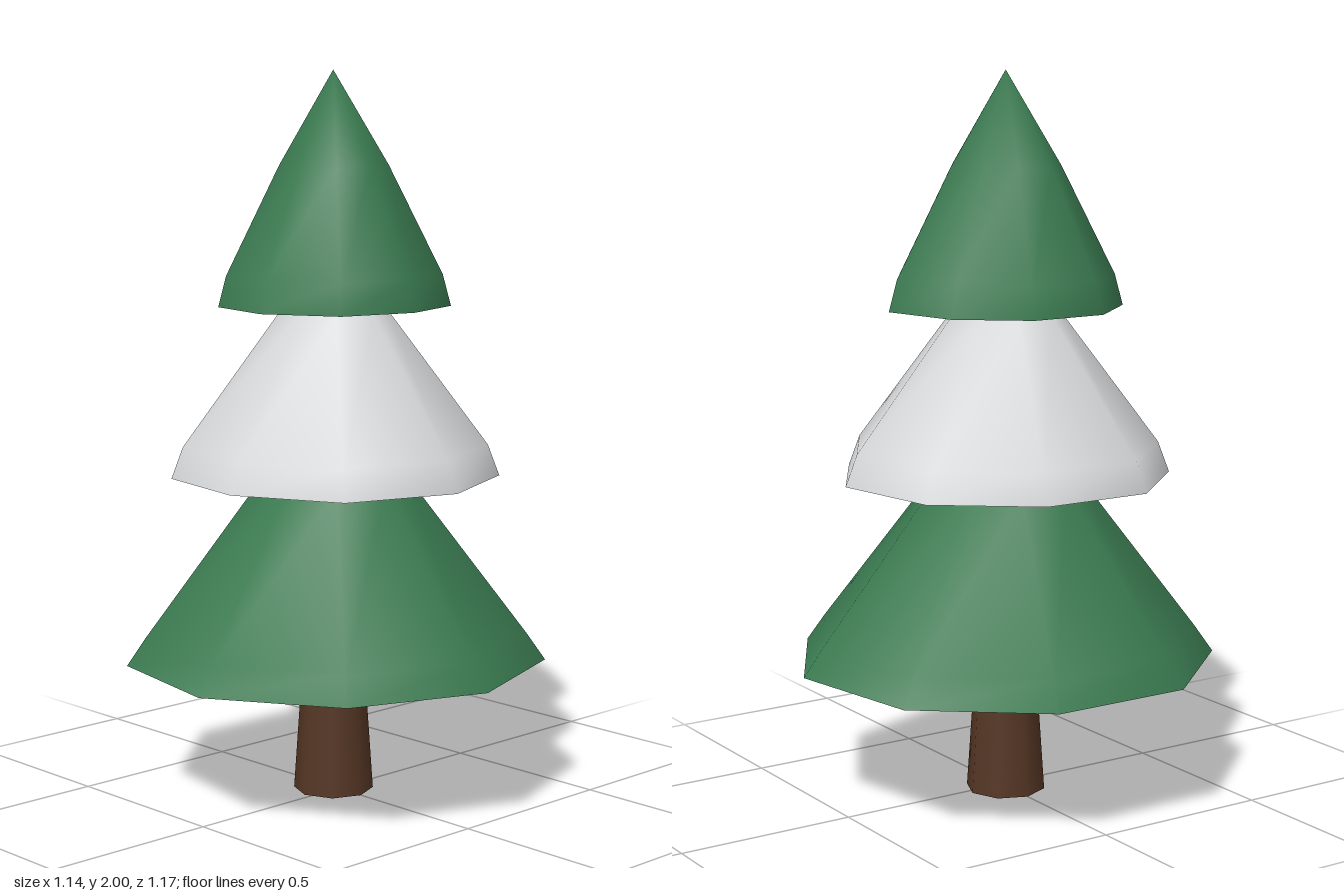
import * as THREE from 'three';
import { mergeVertices } from 'three/addons/utils/BufferGeometryUtils.js';

const SIDES = 9;
const AXIS_X = -0.02;

// Smooth skin over stacked [scale, y] rings; rim holds the radius of each corner
function loft(rim, rings) {
  const pos = [], index = [];
  for (const [scale, y] of rings) {
    rim.forEach((r, i) => {
      const a = (i / SIDES) * Math.PI * 2;
      pos.push(Math.cos(a) * r * scale, y, Math.sin(a) * r * scale);
    });
  }
  for (let k = 0; k < rings.length - 1; k++) {
    for (let i = 0; i < SIDES; i++) {
      const j = (i + 1) % SIDES;
      const a = k * SIDES + i, b = k * SIDES + j, c = a + SIDES, d = b + SIDES;
      if (rings[k][0] > 0) index.push(a, c, b);
      if (rings[k + 1][0] > 0) index.push(b, c, d);
    }
  }
  let geo = new THREE.BufferGeometry();
  geo.setAttribute('position', new THREE.Float32BufferAttribute(pos, 3));
  geo.setIndex(index);
  geo = mergeVertices(geo, 1e-5); // one shared point at each tip
  geo.computeVertexNormals();
  return geo;
}

// One foliage tier: sloped skirt plus a shallow sagging underside
function makeTier(name, material, rim, skirt, tipY) {
  const tier = new THREE.Group();
  tier.name = name;
  const top = new THREE.Mesh(loft(rim, skirt), material);
  top.name = name + 'Skirt';
  const under = new THREE.Mesh(loft(rim, [[0, tipY], skirt[0]]), material);
  under.name = name + 'Underside';
  tier.add(top, under);
  return tier;
}

export function createModel() {
  const green = new THREE.MeshStandardMaterial({ color: 0x3a7a50 });
  green.name = 'pine green';
  const white = new THREE.MeshStandardMaterial({ color: 0xd6d8da });
  white.name = 'snow white';
  const brown = new THREE.MeshStandardMaterial({ color: 0x553624 });
  brown.name = 'bark brown';

  const tree = new THREE.Group();
  tree.name = 'tree';

  // Tapered trunk
  const trunk = new THREE.Mesh(new THREE.CylinderGeometry(0.085, 0.111, 0.38, 8), brown);
  trunk.name = 'trunk';
  trunk.position.y = 0.19;
  tree.add(trunk);

  // Slightly uneven foliage tiers, bottom to top
  tree.add(makeTier('lowerFoliage', green,
    [0.587, 0.579, 0.589, 0.582, 0.585, 0.583, 0.593, 0.594, 0.59],
    [[1, 0.385], [0.91, 0.46], [0.35, 0.89], [0, 1.16]], 0.345));
  tree.add(makeTier('snowyFoliage', white,
    [0.472, 0.48, 0.453, 0.453, 0.461, 0.454, 0.466, 0.468, 0.458],
    [[1, 0.9], [0.93, 0.985], [0.33, 1.35], [0, 1.55]], 0.885));
  tree.add(makeTier('upperFoliage', green,
    [0.312, 0.33, 0.324, 0.32, 0.32, 0.318, 0.321, 0.34, 0.322],
    [[1, 1.365], [0.93, 1.45], [0.47, 1.745], [0, 2]], 1.347));

  tree.children.forEach((part) => { part.position.x = AXIS_X; });
  return tree;
}
